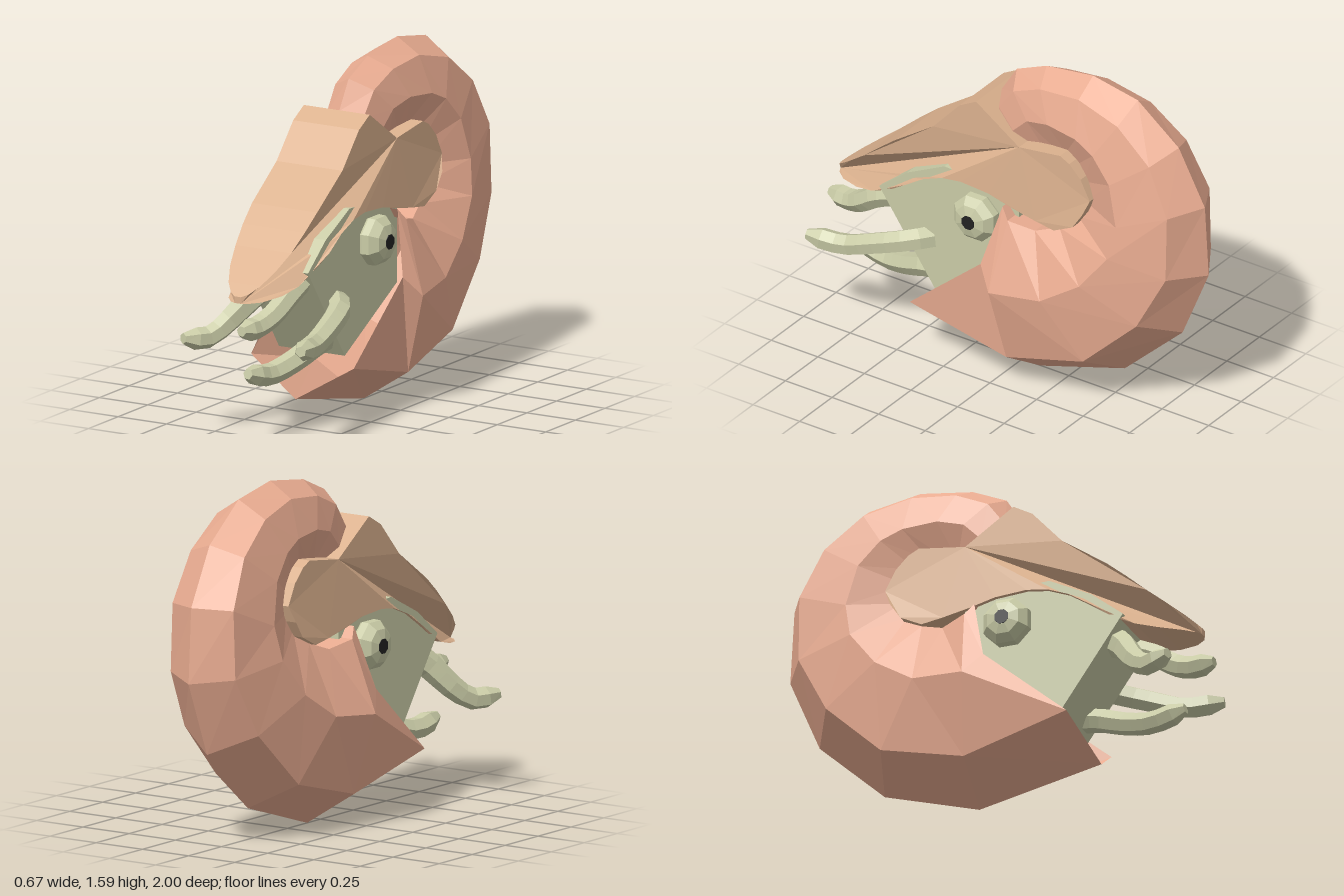
import * as THREE from 'three';

const mat = (color) => new THREE.MeshStandardMaterial({ color, flatShading: true, side: THREE.DoubleSide });
const shellMat = mat(0xe8ab90), hoodMat = mat(0xdbb18e), skinMat = mat(0xc9cba6), pupilMat = mat(0x222222);

function part(name, geometry, material) {
  const mesh = new THREE.Mesh(geometry, material);
  mesh.name = name;
  return mesh;
}

// Side profile of [z, y] points, extruded across x
function slab(points, halfWidth) {
  const shape = new THREE.Shape(points.map(([z, y]) => new THREE.Vector2(z, y)));
  const g = new THREE.ExtrudeGeometry(shape, { depth: 2 * halfWidth, bevelEnabled: false });
  return g.translate(0, 0, -halfWidth).rotateY(-Math.PI / 2);
}

// Triangles between successive closed rings of equal length
function loft(rings, capEnd) {
  const n = rings[0].length, pos = rings.flat(2), index = [];
  for (let i = 0; i < rings.length - 1; i++) {
    for (let j = 0; j < n; j++) {
      const a = i * n + j, b = i * n + (j + 1) % n;
      index.push(a, b, a + n, b, b + n, a + n);
    }
  }
  if (capEnd) {
    const s = (rings.length - 1) * n;
    for (let j = 1; j < n - 1; j++) index.push(s, s + j, s + j + 1);
  }
  const g = new THREE.BufferGeometry();
  g.setAttribute('position', new THREE.Float32BufferAttribute(pos, 3));
  g.setIndex(index);
  const flat = g.toNonIndexed();
  flat.computeVertexNormals();
  return flat;
}

// Coiled shell: ridge [z, y], then shoulder, flank and inner rim as [x, y, z]
function shell() {
  const stations = [
    [[0.48, 0.12], [0.265, 0.28, 0.42], [0.28, 0.615, 0.03], [0.21, 0.9, -0.04]],
    [[-0.1, 0], [0.24, 0.155, -0.08], [0.335, 0.52, -0.05], [0.23, 0.85, -0.08]],
    [[-0.55, 0.14], [0.225, 0.26, -0.48], [0.3, 0.545, -0.3], [0.19, 0.82, -0.2]],
    [[-0.86, 0.43], [0.2, 0.52, -0.75], [0.27, 0.67, -0.49], [0.16, 0.86, -0.31]],
    [[-1, 0.77], [0.175, 0.79, -0.89], [0.24, 0.84, -0.62], [0.13, 0.93, -0.39]],
    [[-0.98, 1.11], [0.165, 1.1, -0.89], [0.215, 1, -0.65], [0.115, 1.01, -0.42]],
    [[-0.84, 1.37], [0.145, 1.32, -0.78], [0.195, 1.19, -0.6], [0.105, 1.1, -0.4]],
    [[-0.62, 1.54], [0.13, 1.46, -0.6], [0.18, 1.3, -0.5], [0.1, 1.17, -0.36]],
    [[-0.38, 1.585], [0.113, 1.515, -0.38], [0.168, 1.345, -0.4], [0.095, 1.21, -0.3]],
    [[-0.13, 1.55], [0.107, 1.495, -0.17], [0.155, 1.36, -0.24], [0.09, 1.21, -0.23]],
    [[0.03, 1.48], [0.1, 1.43, -0.02], [0.14, 1.33, -0.12], [0.085, 1.19, -0.17]],
    [[0.11, 1.35], [0.095, 1.32, 0.06], [0.13, 1.25, -0.04], [0.08, 1.15, -0.13]],
    [[0.11, 1.2], [0.09, 1.19, 0.07], [0.11, 1.14, -0.02], [0.07, 1.09, -0.1]],
  ];
  const rings = stations.map(([[z, y], ...side]) => [
    [0, y, z], ...side, ...side.slice().reverse().map(([a, b, c]) => [-a, b, c]),
  ]);
  return part('shell', loft(rings, true), shellMat);
}

// Hood: straight-sided slab, rounded in plan towards the beak, flared at the cheeks
function hood() {
  const g = slab([
    [0.965, 0.69], [0.965, 0.66], [0.95, 0.66], [0.9, 0.662], [0.8, 0.675], [0.7, 0.7], [0.6, 0.745],
    [0.5, 0.815], [0.4, 0.88], [0.3, 0.92], [0.2, 0.935], [0.05, 0.925], [-0.07, 0.895], [-0.2, 0.87],
    [-0.3, 0.855], [-0.4, 0.905], [-0.45, 0.98], [-0.48, 1.055], [-0.43, 1.15], [-0.37, 1.21],
    [-0.32, 1.235], [-0.1, 1.205], [0.13, 1.36], [0.22, 1.31], [0.36, 1.155], [0.57, 1.01],
    [0.66, 0.937], [0.75, 0.86], [0.84, 0.79], [0.91, 0.735], [0.95, 0.702],
  ], 0.17);
  const p = g.attributes.position;
  for (let i = 0; i < p.count; i++) {
    const y = p.getY(i), t = Math.max(0, (p.getZ(i) - 0.5) / 0.467);
    const flare = t === 0 && y < 1 ? 0.02 : 0;
    p.setX(i, Math.sign(p.getX(i)) * (0.17 * Math.sqrt(Math.max(0, 1 - t * t)) + flare));
  }
  g.computeVertexNormals();
  return part('hood', g, hoodMat);
}

// Tentacle: hexagonal tube with a small pointed-blunt tip
function tentacle(points, baseRadius) {
  const curve = new THREE.CatmullRomCurve3(points.map((p) => new THREE.Vector3(...p)));
  const steps = 9, sides = 6, frames = curve.computeFrenetFrames(steps, false);
  const rings = [];
  for (let i = 0; i <= steps; i++) {
    const c = curve.getPointAt(i / steps), ring = [];
    const r = i === steps ? 0.025 : THREE.MathUtils.lerp(baseRadius, 0.05, Math.min(1, i / 6));
    for (let j = 0; j < sides; j++) {
      const a = (j / sides) * Math.PI * 2;
      const v = c.clone().addScaledVector(frames.normals[i], r * Math.cos(a))
        .addScaledVector(frames.binormals[i], r * Math.sin(a));
      ring.push(v.toArray());
    }
    rings.push(ring);
  }
  return part('tentacle', loft(rings, true), skinMat);
}

// Eye: eight-sided dome with a dark disc, facing +x or -x
function eye(side) {
  const group = new THREE.Group();
  group.name = side > 0 ? 'leftEye' : 'rightEye';
  const profile = [[0.1, 0.14], [0.115, 0.18], [0.113, 0.215], [0.08, 0.25], [0.036, 0.262], [0, 0.262]];
  const dome = new THREE.LatheGeometry(profile.map(([r, h]) => new THREE.Vector2(r, h)), 8);
  const pupil = new THREE.CylinderGeometry(0.035, 0.035, 0.006, 8).translate(0, 0.262, 0);
  group.add(part('eyeball', dome, skinMat), part('pupil', pupil, pupilMat));
  group.children.forEach((m) => m.geometry.rotateY(Math.PI / 8).rotateZ(-side * Math.PI / 2));
  group.position.set(0, 0.79, 0.11);
  return group;
}

export function createModel() {
  const model = new THREE.Group();
  model.name = 'nautilus';
  const head = slab([[0.65, 0.75], [0.34, 0.31], [-0.1, 0.55], [-0.1, 0.95], [0.3, 0.97], [0.5, 0.87]], 0.17);
  model.add(shell(), hood(), part('head', head, skinMat), eye(1), eye(-1));

  const tentacles = [
    [[[-0.03, 0.7, 0.52], [-0.11, 0.62, 0.63], [-0.2, 0.5, 0.72], [-0.25, 0.44, 0.8], [-0.31, 0.45, 0.92]], 0.07],
    [[[0.14, 0.57, 0.38], [0.22, 0.56, 0.46], [0.26, 0.51, 0.62], [0.27, 0.46, 0.77], [0.31, 0.475, 0.94]], 0.055],
    [[[0.1, 0.7, 0.58], [0.1, 0.65, 0.7], [0.08, 0.58, 0.8], [0.05, 0.54, 0.89], [0.04, 0.545, 1]], 0.055],
    [[[0.09, 0.39, 0.34], [0.09, 0.38, 0.43], [0.05, 0.32, 0.58], [0.01, 0.285, 0.72], [0, 0.32, 0.88]], 0.055],
  ];
  tentacles.forEach(([points, radius]) => model.add(tentacle(points, radius)));
  return model;
}
